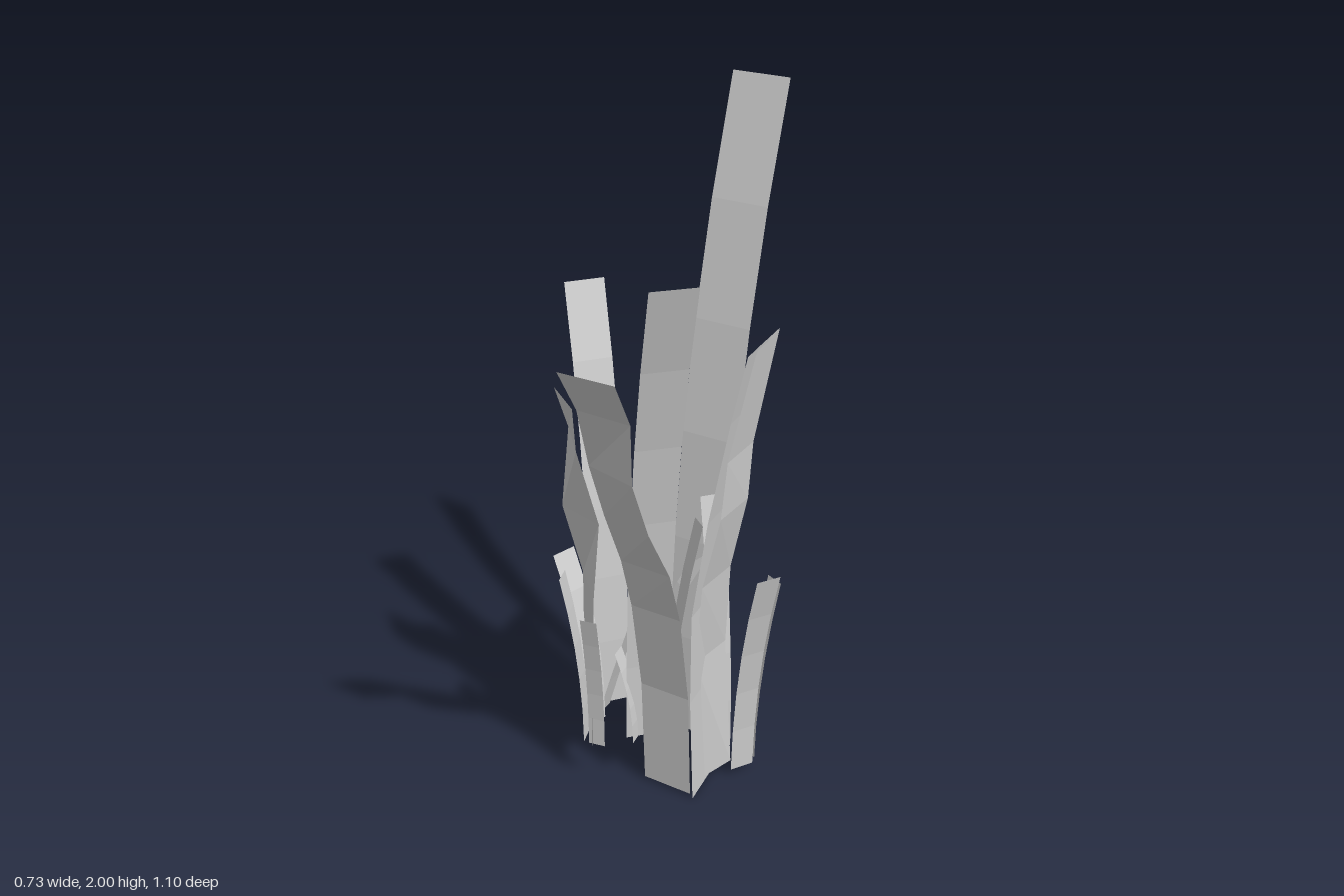
import * as THREE from 'three';

const material = new THREE.MeshStandardMaterial({ color: 0xcccccc, flatShading: true, side: THREE.DoubleSide });

// Flat ribbon through [x, y, z, turn] centre points; turn (degrees) swings its width from +x towards +z
function ribbon(name, points, width) {
  const pos = [], index = [];
  points.forEach(([x, y, z, turn], i) => {
    const a = THREE.MathUtils.degToRad(turn);
    const ex = Math.cos(a) * width / 2, ez = Math.sin(a) * width / 2;
    pos.push(x - ex, y, z - ez, x + ex, y, z + ez);
    if (i > 0) {
      const k = i * 2 - 2;
      index.push(k, k + 1, k + 3, k, k + 3, k + 2);
    }
  });
  const geo = new THREE.BufferGeometry();
  geo.setAttribute('position', new THREE.Float32BufferAttribute(pos, 3));
  geo.setIndex(index);
  geo.computeVertexNormals();
  const mesh = new THREE.Mesh(geo, material);
  mesh.name = name;
  return mesh;
}

// Blade that leaves its base upright and arches over to the tip
function arched(name, base, tip, width, power = 2.2, segments = 6) {
  const dx = tip[0] - base[0], dz = tip[2] - base[2];
  const turn = THREE.MathUtils.radToDeg(Math.atan2(dx, -dz));
  const points = [];
  for (let i = 0; i <= segments; i++) {
    const t = i / segments, k = t ** power;
    points.push([base[0] + dx * k, base[1] + (tip[1] - base[1]) * t, base[2] + dz * k, turn]);
  }
  return ribbon(name, points, width);
}

export function createModel() {
  const group = new THREE.Group();
  group.name = 'grassClump';

  // Tall arched blades
  group.add(
    arched('tallBackBlade', [0.0325, 0.02, -0.24], [0.0325, 2, -0.55], 0.175),
    arched('tallMiddleBlade', [0.017, 0.15, -0.002], [0.19, 1.64, 0.158], 0.13),
    arched('tallRightBlade', [-0.175, 0.14, -0.098], [-0.332, 1.445, -0.22], 0.118),
  );

  // Long blade leaning forward, slightly twisted halfway
  group.add(ribbon('frontBlade', [
    [0.1, 0.01, 0.02, 0], [0.1, 0.36, 0.04, 0], [0.105, 0.66, 0.1, 0], [0.115, 0.84, 0.17, 2],
    [0.12, 1.02, 0.27, 11], [0.135, 1.21, 0.365, 14], [0.16, 1.4, 0.43, 2], [0.19, 1.55, 0.545, -1],
  ], 0.157));

  // Wide pair of blades on the left side
  group.add(
    ribbon('leftBladeFront', [
      [0.18, 0, -0.045, 82], [0.175, 0.35, -0.03, 82], [0.185, 0.65, -0.015, 83],
      [0.225, 0.95, -0.025, 84], [0.275, 1.25, -0.045, 84], [0.316, 1.445, -0.05, 84],
    ], 0.14),
    ribbon('leftBladeBack', [
      [0.185, 0.015, -0.105, 105], [0.175, 0.45, -0.09, 95], [0.2, 0.72, -0.07, 92],
      [0.25, 0.95, -0.07, 90], [0.258, 1.12, -0.08, 88], [0.308, 1.445, -0.12, 84],
    ], 0.15),
  );

  // Wavy, twisting blade on the right side
  group.add(ribbon('rightWavyBlade', [
    [-0.15, 0.14, 0.065, 47], [-0.15, 0.4, 0.06, 47], [-0.152, 0.64, 0.05, 45],
    [-0.178, 0.86, 0.045, 15], [-0.19, 1.1, 0.06, 48], [-0.207, 1.225, 0.075, 37],
  ], 0.157));

  // Short blades around the clump: base, tip, width, arch power
  const shortBlades = [
    ['leftShortBlade', [0.25, 0.02, -0.165], [0.343, 0.735, -0.11], 0.075, 2],
    ['backLeftShortBlade', [0.235, 0.02, -0.235], [0.265, 0.615, -0.3], 0.06, 2],
    ['backShortBlade', [0.148, 0.02, -0.21], [0.06, 0.845, -0.28], 0.07, 2],
    ['backInnerBlade', [-0.07, 0.14, -0.11], [0.04, 0.65, -0.275], 0.06, 2],
    ['backCentreBlade', [0.022, 0.02, -0.1], [0.08, 0.81, -0.175], 0.06, 2],
    ['rightBackBlade', [-0.055, 0.14, -0.16], [-0.2, 0.9, -0.15], 0.08, 4],
    ['rightInnerBlade', [-0.17, 0.14, -0.05], [0.025, 0.775, -0.065], 0.07, 1.05],
    ['innerSmallBlade', [0.15, 0.02, -0.155], [0.12, 0.5, -0.115], 0.05, 2],
    ['rightOuterBlade', [-0.155, 0.14, 0.02], [-0.278, 0.685, -0.01], 0.08, 2.3],
    ['rightFrontBlade', [-0.14, 0.14, 0.09], [-0.2, 0.69, 0.11], 0.06, 2],
    ['frontSmallBlade', [-0.09, 0.14, 0.11], [-0.08, 0.6, 0.16], 0.05, 2],
    ['centreSmallBlade', [0.0, 0.15, 0.035], [-0.055, 0.45, 0.045], 0.05, 2],
  ];
  for (const [name, base, tip, width, power] of shortBlades) {
    group.add(arched(name, base, tip, width, power, 5));
  }

  return group;
}
